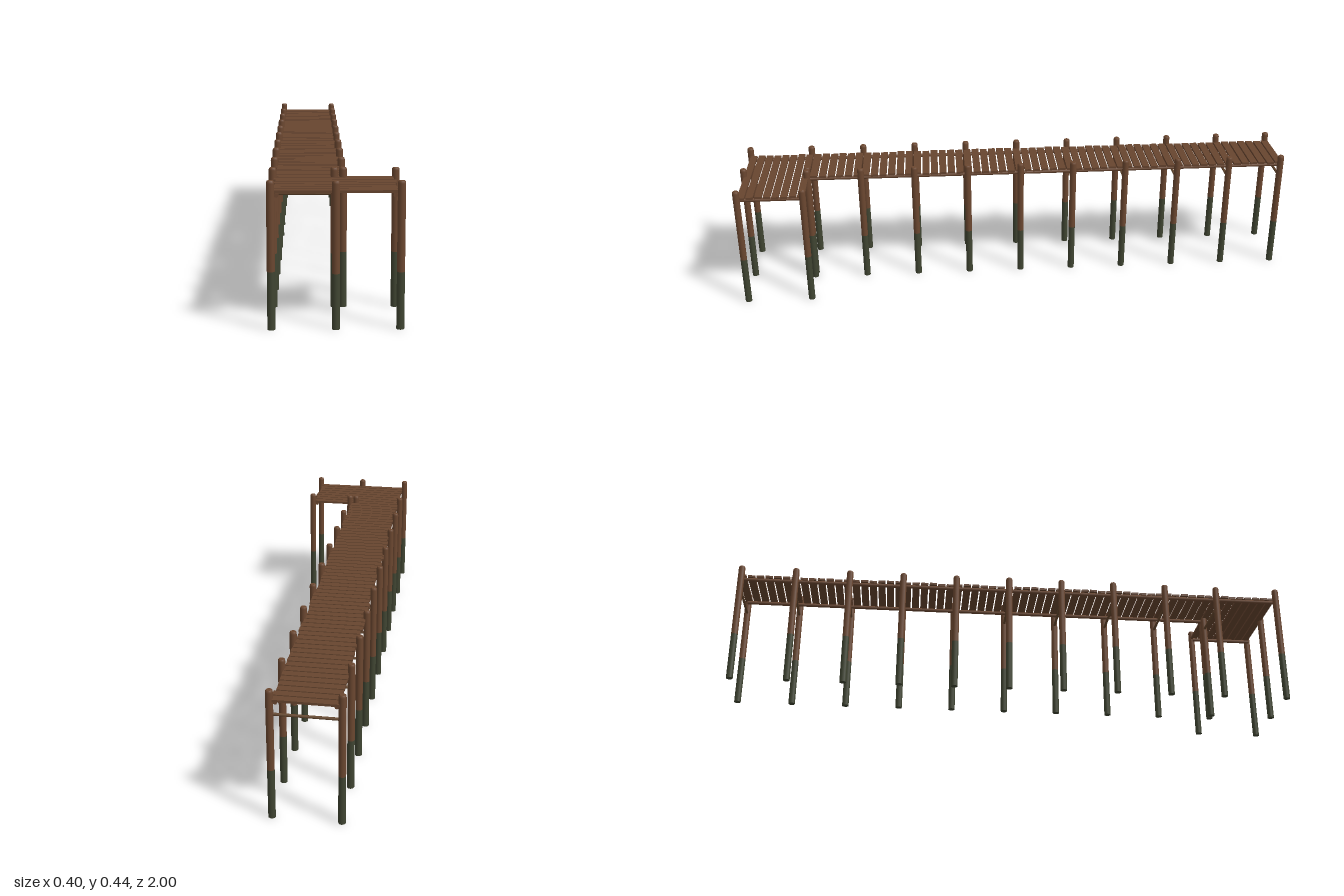
import * as THREE from 'three';

const mat = (name, color) => {
  const m = new THREE.MeshStandardMaterial({ color });
  m.name = name;
  return m;
};

export function createModel() {
  const root = new THREE.Group();
  root.name = 'woodenPier';
  const postWood = mat('post brown', 0x6b4730);
  const plankWood = mat('plank brown', 0x67452f);
  const barWood = mat('crossbar brown', 0x66482e);
  const algae = mat('algae green', 0x404532);

  let seed = 7;
  const rand = () => (seed = (seed * 16807) % 2147483647) / 2147483647;

  const add = (parent, name, geo, material, x, y, z) => {
    const m = new THREE.Mesh(geo, material);
    m.name = name;
    m.position.set(x, y, z);
    parent.add(m);
    return m;
  };

  // Round post: green submerged foot, brown shaft with a softened top
  const R = 0.0118;
  const addPost = (x, z) => {
    const post = new THREE.Group();
    post.name = 'post';
    post.position.set(x, 0, z);
    const split = 0.167 + rand() * 0.01, top = 0.439 + rand() * 0.002;
    const foot = [[0, 0], [R, 0], [R, 0], [R, split]];
    const shaft = [[R, split], [R, top - 0.008], [R * 0.93, top - 0.003], [R * 0.75, top], [R * 0.75, top], [0, top]];
    const lathe = (pts) => new THREE.LatheGeometry(pts.map(p => new THREE.Vector2(...p)), 12);
    add(post, 'postFoot', lathe(foot), algae, 0, 0, 0);
    add(post, 'postShaft', lathe(shaft), postWood, 0, 0, 0);
    root.add(post);
  };

  // Walkway post pairs with a crossbar under the deck
  const xL = -0.188, xR = 0.027, zBack = -0.986, zJoin = 0.76, zFront = 0.988;
  const step = (zJoin - zBack) / 9;
  for (let i = 0; i < 10; i++) {
    const z = zBack + i * step;
    addPost(xL, z);
    addPost(xR, z);
    const bar = add(root, 'crossbar', new THREE.CylinderGeometry(0.0048, 0.0048, xR - xL, 8), barWood, (xL + xR) / 2, 0.359, z);
    bar.rotation.z = Math.PI / 2;
  }

  // Platform posts
  for (const [x, z] of [[xL, zFront], [0, zFront], [0.188, zFront], [0, zJoin], [0.188, zJoin]]) addPost(x, z);

  // Round stringers carrying the planks
  const addStringer = (x, z0, z1) => {
    const s = add(root, 'stringer', new THREE.CylinderGeometry(0.0068, 0.0068, z1 - z0, 8), postWood, x, 0.3975, (z0 + z1) / 2);
    s.rotation.x = Math.PI / 2;
  };
  addStringer(-0.171, zBack, zFront);
  addStringer(0.01, zBack, zJoin);
  addStringer(0.171, zJoin, zFront);

  // Deck planks with slightly uneven ends
  const addDeck = (name, x0, x1, z0, z1, n) => {
    const deck = new THREE.Group();
    deck.name = name;
    const pitch = (z1 - z0) / n;
    for (let i = 0; i < n; i++) {
      const a = x0 + (rand() - 0.5) * 0.008, b = x1 + (rand() - 0.5) * 0.008;
      add(deck, 'plank', new THREE.BoxGeometry(b - a, 0.008, pitch * 0.83), plankWood,
        (a + b) / 2, 0.4075, z0 + (i + 0.5) * pitch);
    }
    root.add(deck);
  };
  addDeck('walkwayDeck', -0.181, 0.019, -0.998, 0.752, 56);
  addDeck('platformDeck', -0.181, 0.181, 0.752, 0.99, 8);

  return root;
}
